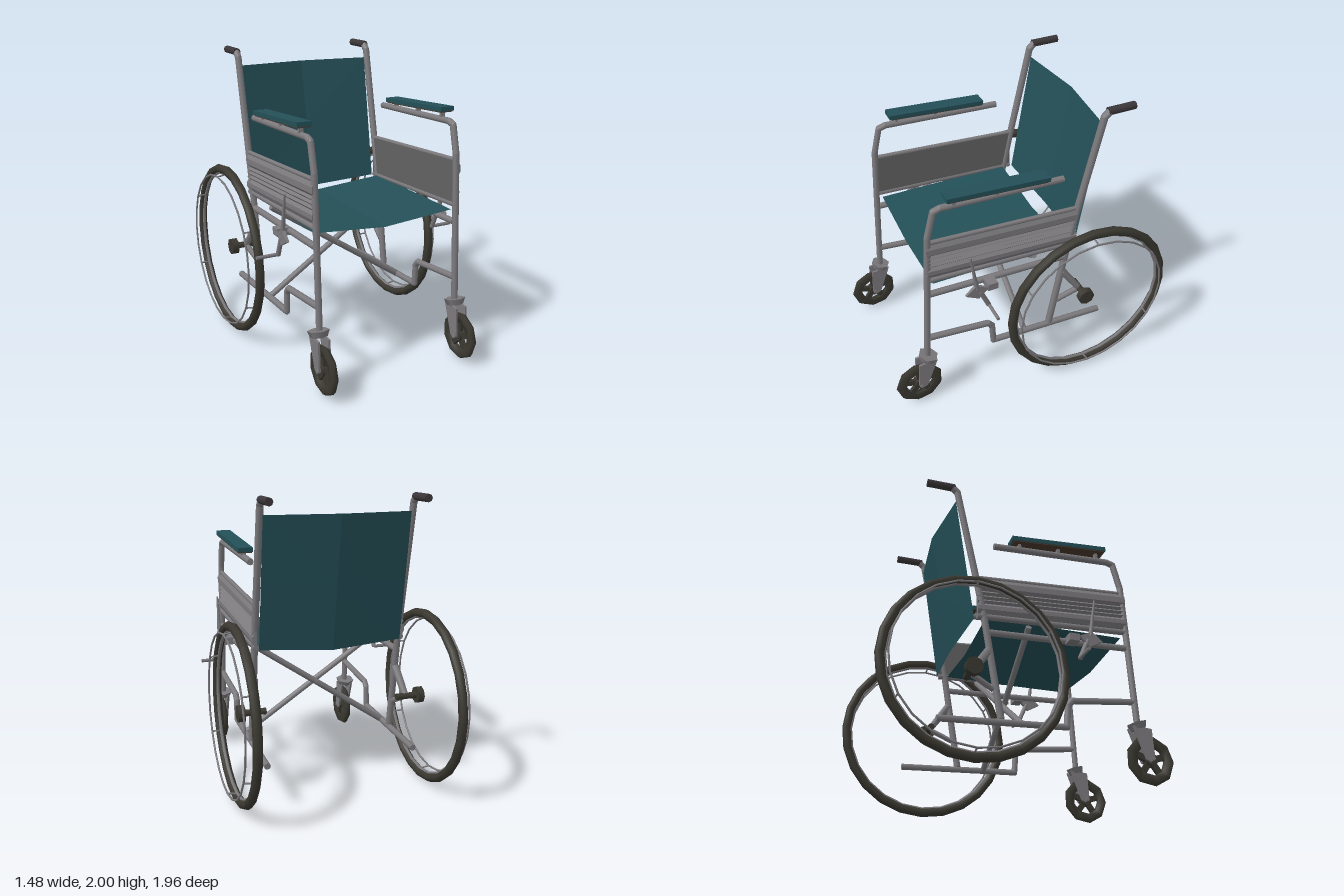
import * as THREE from 'three';

const paint = (name, color, side = THREE.FrontSide) => {
  const m = new THREE.MeshStandardMaterial({ color, side });
  m.name = name;
  return m;
};

export function createModel() {
  const metal = paint('greyMetal', 0x7c7a7d);
  const rubber = paint('darkRubber', 0x3a3830);
  const grip = paint('darkGrip', 0x3c373a);
  const fabric = paint('tealFabric', 0x245058, THREE.DoubleSide);
  const lining = paint('panelLining', 0x626263);
  const wood = paint('brownBase', 0x4a3a2c);

  const root = new THREE.Group();
  root.name = 'wheelchair';
  const V = (x, y, z) => new THREE.Vector3(x, y, z);

  const add = (parent, name, geo, mat, x = 0, y = 0, z = 0) => {
    const m = new THREE.Mesh(geo, mat);
    m.name = name;
    m.position.set(x, y, z);
    parent.add(m);
    return m;
  };

  // straight rod between two points
  const rod = (parent, name, a, b, r, mat = metal, sides = 8, r2 = r) => {
    const d = b.clone().sub(a);
    const m = add(parent, name, new THREE.CylinderGeometry(r2, r, d.length(), sides), mat);
    m.position.copy(a).addScaledVector(d, 0.5);
    m.quaternion.setFromUnitVectors(V(0, 1, 0), d.normalize());
    return m;
  };

  // bent tube in a plane of constant x, through [z, y] points
  const bent = (parent, name, x, pts, r) => {
    const g = new THREE.Group();
    g.name = name;
    parent.add(g);
    pts.forEach(([z, y], i) => {
      if (!i) return;
      rod(g, name + 'Section', V(x, pts[i - 1][1], pts[i - 1][0]), V(x, y, z), r);
      if (i < pts.length - 1) add(g, name + 'Bend', new THREE.SphereGeometry(r, 8, 6), metal, x, y, z);
    });
  };

  // flat plate cut from a [z, y] outline, centred on x
  const plate = (parent, name, x, pts, t, mat) => {
    const s = new THREE.Shape(pts.map(([z, y]) => new THREE.Vector2(z, y)));
    const geo = new THREE.ExtrudeGeometry(s, { depth: t, bevelEnabled: false });
    geo.rotateY(-Math.PI / 2).translate(t / 2, 0, 0);
    return add(parent, name, geo, mat, x);
  };

  // fabric sheet with a centre crease; rule maps (u, v) to a point
  const sheet = (name, rule) => {
    let geo = new THREE.PlaneGeometry(1, 1, 2, 2);
    const p = geo.attributes.position;
    for (let i = 0; i < p.count; i++) p.setXYZ(i, ...rule(p.getX(i) * 2, p.getY(i) + 0.5));
    geo = geo.toNonIndexed();
    geo.computeVertexNormals();
    add(root, name, geo, fabric);
  };
  sheet('seat', (u, v) => [u * 0.5, 0.98 + 0.04 * Math.abs(u), 0.67 - 0.94 * v]);
  sheet('backrest', (u, v) => {
    const bulge = 1 - Math.abs(u);
    return [u * 0.49, 1.01 + 0.87 * v - 0.03 * bulge * (1 - v), -0.345 - 0.14 * v - bulge * (0.035 + 0.015 * v)];
  });

  // folding cross brace
  rod(root, 'crossBrace', V(-0.5, 1.0, 0.02), V(0.5, 0.33, 0.02), 0.021);
  rod(root, 'crossBrace', V(0.5, 1.0, -0.035), V(-0.5, 0.33, -0.035), 0.021);
  rod(root, 'crossPivot', V(0, 0.665, 0.045), V(0, 0.665, -0.06), 0.012);

  // everything that repeats left and right
  const buildSide = (s) => {
    const g = new THREE.Group();
    g.name = s > 0 ? 'leftSide' : 'rightSide';
    root.add(g);
    const X = 0.505 * s;

    // frame tubes
    bent(g, 'backPost', X, [[-0.17, 0.34], [-0.28, 1.0], [-0.33, 1.25], [-0.48, 1.94], [-0.52, 1.975]], 0.024);
    bent(g, 'frontPost', X, [[0.745, 0.41], [0.71, 1.05], [0.69, 1.4], [0.645, 1.58], [0.6, 1.595], [-0.22, 1.562]], 0.022);
    bent(g, 'seatRail', X, [[0.7, 0.945], [-0.27, 0.915]], 0.022);
    bent(g, 'lowerRail', X, [[0.73, 0.565], [0.3, 0.52], [0.27, 0.485], [0.26, 0.34], [-0.57, 0.305]], 0.022);
    bent(g, 'panelTopTube', X, [[0.71, 1.36], [-0.34, 1.3]], 0.015);
    bent(g, 'panelBottomTube', X, [[0.72, 1.065], [-0.33, 1.02]], 0.02);
    rod(g, 'handGrip', V(X, 1.973, -0.5), V(X, 1.973, -0.69), 0.026, grip);

    // ribbed side panel, sloping slightly to the rear
    const ribs = [[0.5, 1.08], [0.515, 1.09], [0.53, 1.12], [0.53, 1.15], [0.512, 1.17], [0.526, 1.185], [0.51, 1.2],
      [0.526, 1.215], [0.51, 1.23], [0.526, 1.245], [0.512, 1.26], [0.53, 1.28], [0.53, 1.32], [0.515, 1.35], [0.5, 1.36]];
    const outline = new THREE.Shape(ribs.map(([x, y]) => new THREE.Vector2(x * s, y)));
    const panel = new THREE.ExtrudeGeometry(outline, { depth: 1.04, bevelEnabled: false });
    panel.translate(0, 0, -0.33);
    const p = panel.attributes.position;
    for (let i = 0; i < p.count; i++) p.setY(i, p.getY(i) - 0.055 * (0.71 - p.getZ(i)));
    panel.computeVertexNormals();
    add(g, 'sidePanel', panel, metal);
    plate(g, 'panelLining', 0.495 * s, [[0.7, 1.06], [0.7, 1.355], [-0.33, 1.3], [-0.33, 1.02]], 0.008, lining);

    // arm pad
    const arm = new THREE.Group();
    arm.name = 'armrest';
    arm.position.set(0.508 * s, 1.64, 0.235);
    arm.rotation.x = -0.065;
    g.add(arm);
    add(arm, 'armPad', new THREE.BoxGeometry(0.1, 0.03, 0.68), fabric, 0, 0.006, 0);
    add(arm, 'armPadBase', new THREE.BoxGeometry(0.09, 0.008, 0.66), wood, 0, -0.012, 0);
    for (const z of [0.28, 0, -0.28])
      add(arm, 'padBracket', new THREE.BoxGeometry(0.03, 0.05, 0.02), metal, 0, -0.035, z);

    // brake
    add(g, 'brakeClamp', new THREE.BoxGeometry(0.09, 0.05, 0.07), metal, 0.55 * s, 0.93, 0.3);
    const B = 0.59 * s;
    rod(g, 'brakeLever', V(B, 0.95, 0.41), V(B, 1.22, 0.45), 0.016, metal, 6, 0.006);
    plate(g, 'brakePlate', B, [[0.49, 0.92], [0.42, 0.98], [0.33, 0.94], [0.4, 0.87]], 0.02, metal);
    rod(g, 'brakeArm', V(B, 0.92, 0.39), V(B, 0.78, 0.33), 0.016, metal, 6);
    rod(g, 'brakeShoe', V(B, 0.785, 0.33), V(0.74 * s, 0.785, 0.33), 0.012, metal, 6);

    // main wheel, open in the middle
    const wheel = new THREE.Group();
    wheel.name = 'mainWheel';
    wheel.position.set(0.662 * s, 0.605, -0.38);
    g.add(wheel);
    const ring = (name, R, r, x, mat, sides) =>
      add(wheel, name, new THREE.TorusGeometry(R, r, sides, 24).rotateY(Math.PI / 2), mat, x * s);
    ring('mainTyre', 0.573, 0.031, 0, rubber, 8);
    ring('wheelRim', 0.546, 0.012, 0, metal, 6);
    ring('pushRim', 0.535, 0.007, 0.065, metal, 5);
    for (let i = 0; i < 6; i++) {
      const a = (i + 0.5) * Math.PI / 3;
      const at = (x, R) => V(x * s, R * Math.sin(a), R * Math.cos(a));
      rod(wheel, 'pushRimBracket', at(0, 0.545), at(0.065, 0.535), 0.006, metal, 5);
    }

    // axle and its support arms
    rod(g, 'axle', V(0.46 * s, 0.61, -0.38), V(0.62 * s, 0.61, -0.38), 0.023, rubber);
    rod(g, 'hub', V(0.605 * s, 0.61, -0.38), V(0.65 * s, 0.61, -0.38), 0.058, rubber);
    rod(g, 'axleArm', V(X, 0.79, -0.25), V(0.53 * s, 0.62, -0.37), 0.03, metal, 6, 0.024);
    rod(g, 'axleArm', V(X, 0.53, -0.22), V(0.53 * s, 0.6, -0.36), 0.02, metal, 6);

    // caster fork and wheel
    const C = 0.51 * s;
    const cap = rod(g, 'casterCap', V(C, 0.375, 0.75), V(C, 0.415, 0.74), 0.055, metal, 6, 0.072);
    cap.scale.z = 0.95;
    for (const o of [-0.036, 0.036])
      plate(g, 'casterFork', C + o, [[0.82, 0.375], [0.69, 0.385], [0.77, 0.17], [0.8, 0.155], [0.83, 0.18]], 0.014, metal);
    const caster = new THREE.Group();
    caster.name = 'caster';
    caster.position.set(C, 0.178, 0.815);
    g.add(caster);
    const tread = [[0.1, -0.016], [0.152, -0.022], [0.166, 0], [0.152, 0.022], [0.1, 0.016], [0.1, -0.016]];
    const tyre = new THREE.LatheGeometry(tread.map(([r, y]) => new THREE.Vector2(r, y)), 9);
    add(caster, 'casterTyre', tyre.rotateZ(Math.PI / 2), rubber);
    rod(caster, 'casterHub', V(-0.028, 0, 0), V(0.028, 0, 0), 0.042, rubber);
    rod(caster, 'casterBolt', V(-0.05, 0, 0), V(0.05, 0, 0), 0.014, metal, 6);
    for (let i = 0; i < 5; i++) {
      const spoke = add(caster, 'casterSpoke', new THREE.BoxGeometry(0.024, 0.09, 0.04).translate(0, 0.07, 0), rubber);
      spoke.rotation.x = i * Math.PI * 0.4;
    }
  };
  buildSide(1);
  buildSide(-1);
  return root;
}
